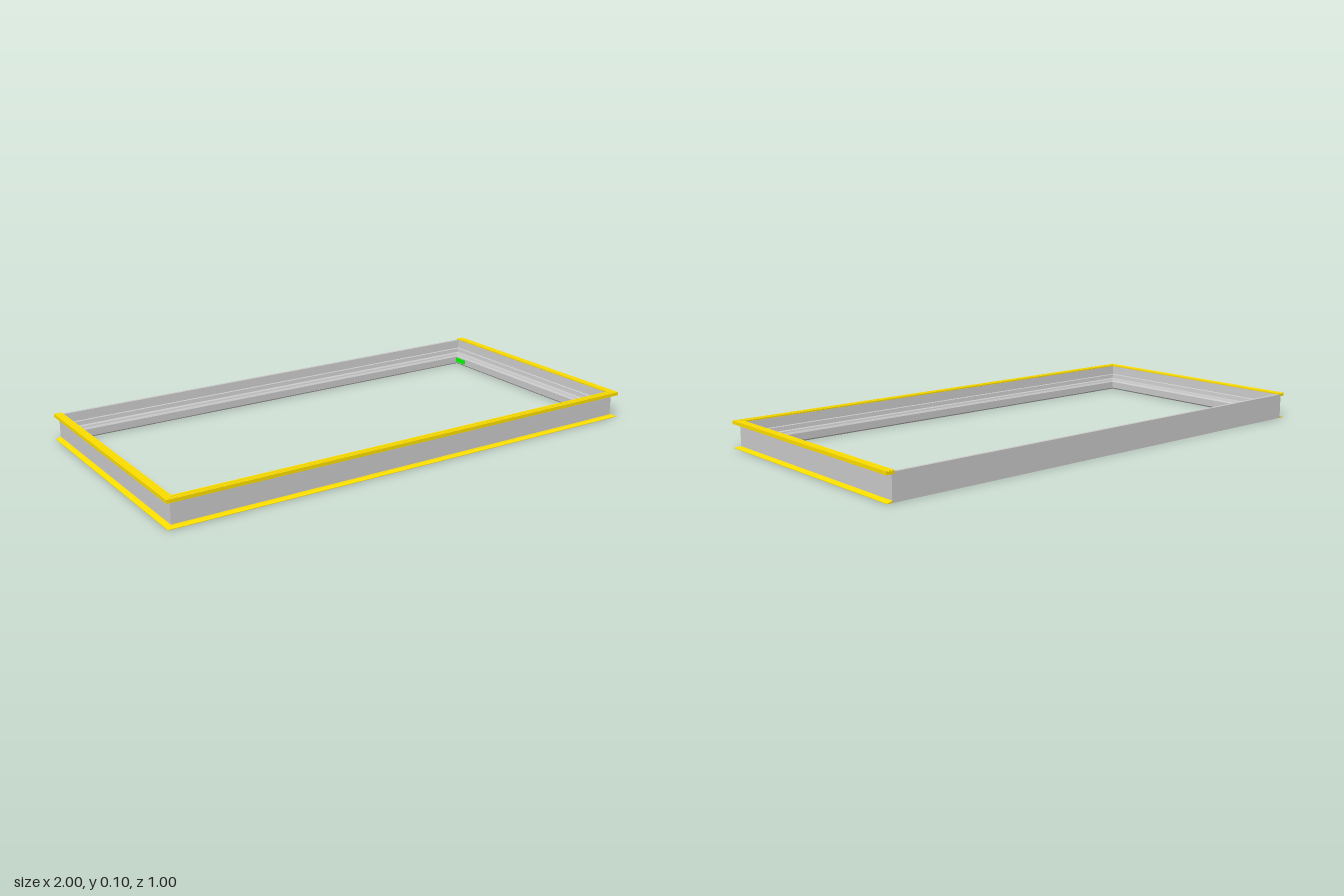
import * as THREE from 'three';

const grey = new THREE.MeshStandardMaterial({ color: 0xcccccc });
const yellow = new THREE.MeshStandardMaterial({ color: 0xffe000 });
const green = new THREE.MeshStandardMaterial({ color: 0x00ff00 });

// Corners of the outer wall in plan: front right-hand round to the back; dx, dz point inward
const bodyCorners = [
  { x: -0.98, z: 0.48, dx: 1, dz: -1 },
  { x: 0.98, z: 0.48, dx: -1, dz: -1 },
  { x: 0.98, z: -0.5, dx: -1, dz: 1 },
  { x: -0.98, z: -0.5, dx: 1, dz: 1 },
];
// Trim is cut square at the back, where there is none
const trimCorners = bodyCorners.map((c, i) => (i > 1 ? { ...c, dz: 0 } : c));

// Profiles as [distance inward from outer wall, height]
const bodyProfile = [
  [0, 0], [0.012, 0], [0.012, 0.004], [0.018, 0.004], [0.018, 0], [0.044, 0],
  [0.05, 0.006], [0.05, 0.034], [0.046, 0.04], [0.041, 0.04], [0.039, 0.046],
  [0.02, 0.046], [0.018, 0.062], [0.014, 0.064], [0.012, 0.1], [0, 0.1],
];
const topTrimProfile = [
  [-0.02, 0.092], [0.011, 0.092], [0.011, 0.105], [0.004, 0.105], [0.003, 0.102],
  [-0.002, 0.102], [-0.003, 0.105], [-0.009, 0.105], [-0.01, 0.102],
  [-0.014, 0.102], [-0.015, 0.105], [-0.02, 0.105],
];
const bottomTrimProfile = [
  [-0.02, 0], [0, 0], [0, 0.008], [-0.003, 0.008], [-0.005, 0.005], [-0.02, 0.002],
];

// Extrude a profile between two corners, mitring both ends
function rail(name, profile, a, b, material) {
  const shape = new THREE.Shape(profile.map(([u, y]) => new THREE.Vector2(u, y)));
  const geo = new THREE.ExtrudeGeometry(shape, { depth: 1, steps: 1, bevelEnabled: false });
  const p = geo.attributes.position;
  for (let i = 0; i < p.count; i++) {
    const u = p.getX(i);
    const c = p.getZ(i) < 0.5 ? a : b;
    p.setXYZ(i, c.x + u * c.dx, p.getY(i), c.z + u * c.dz);
  }
  geo.computeVertexNormals();
  const mesh = new THREE.Mesh(geo, material);
  mesh.name = name;
  return mesh;
}

export function createModel() {
  const model = new THREE.Group();
  model.name = 'rectangularFrame';

  // Four rails, trimmed on all sides but the back
  ['front', 'left', 'back', 'right'].forEach((side, i) => {
    const j = (i + 1) % 4;
    model.add(rail(side + 'Rail', bodyProfile, bodyCorners[i], bodyCorners[j], grey));
    if (side === 'back') return;
    model.add(rail(side + 'TopTrim', topTrimProfile, trimCorners[i], trimCorners[j], yellow));
    model.add(rail(side + 'BottomTrim', bottomTrimProfile, trimCorners[i], trimCorners[j], yellow));
  });

  // Small inner corner clips on the left rail
  for (const z of [-0.42, 0.395]) {
    const clip = new THREE.Mesh(new THREE.BoxGeometry(0.004, 0.02, 0.06), green);
    clip.position.set(0.929, 0.02, z);
    clip.name = 'cornerClip';
    model.add(clip);
  }
  return model;
}
